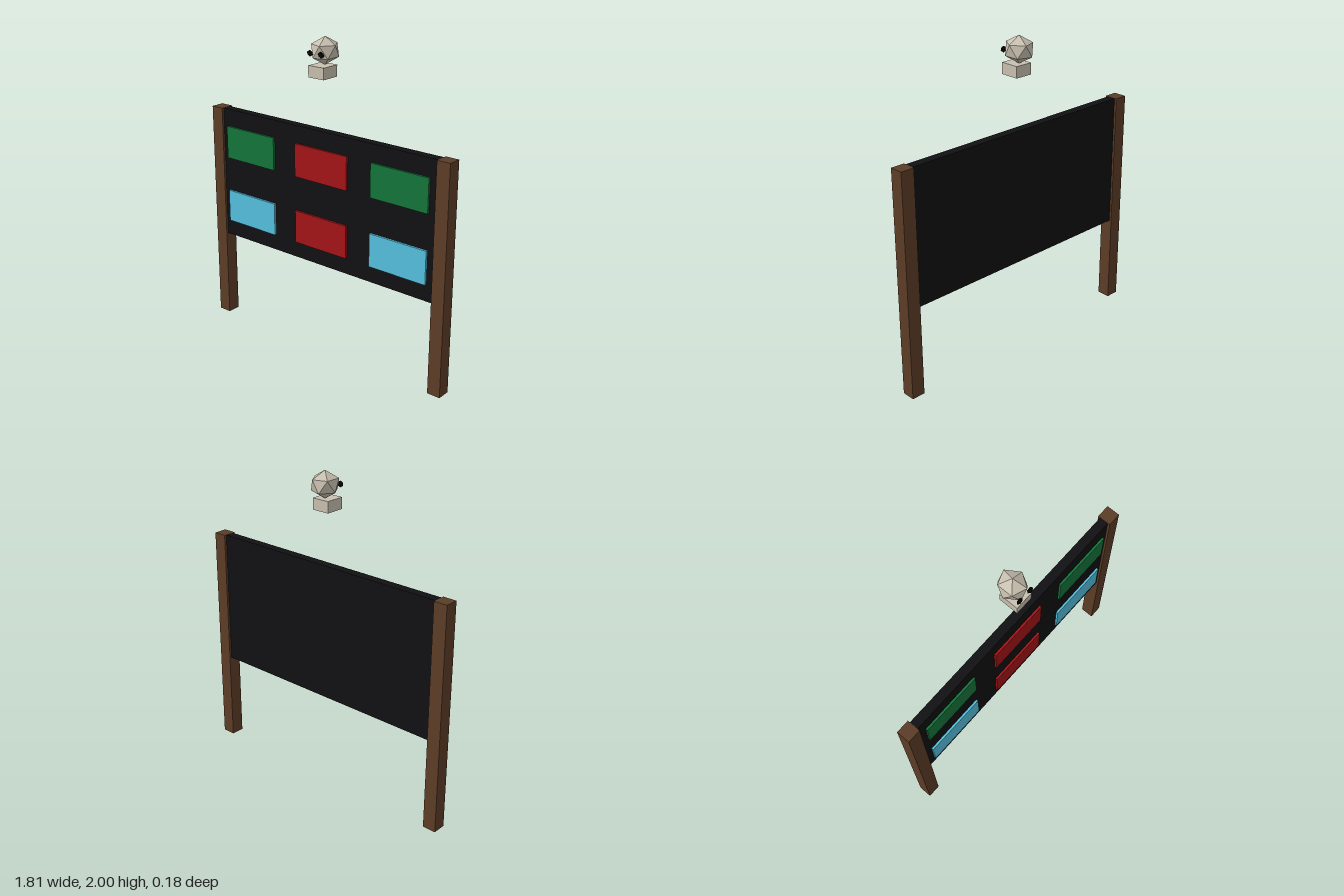
import * as THREE from 'three';
import { ConvexGeometry } from 'three/addons/geometries/ConvexGeometry.js';

const material = (color) => new THREE.MeshStandardMaterial({ color, flatShading: true });

export function createModel() {
  const model = new THREE.Group();
  const wood = material(0x5c3d26), black = material(0x111113), bone = material(0xc8c0b0);
  const green = material(0x15753a), red = material(0xa51417), blue = material(0x55c0de);
  const eyeBlack = material(0x050505);

  const add = (name, geometry, mat, x, y, z) => {
    const mesh = new THREE.Mesh(geometry, mat);
    mesh.name = name;
    mesh.position.set(x, y, z);
    model.add(mesh);
    return mesh;
  };
  const box = (name, mat, w, h, d, x, y, z) =>
    add(name, new THREE.BoxGeometry(w, h, d), mat, x, y, z);

  // Icosahedron standing on a vertex, with two staggered rings of five
  const points = [new THREE.Vector3(0, 1, 0), new THREE.Vector3(0, -1, 0)];
  for (let i = 0; i < 10; i++) {
    const a = (i * Math.PI) / 5, r = 2 / Math.sqrt(5);
    points.push(new THREE.Vector3(r * Math.cos(a), (i % 2 ? -1 : 1) / Math.sqrt(5), r * Math.sin(a)));
  }
  const ball = (name, mat, rx, ry, rz, x, y, z) =>
    add(name, new ConvexGeometry(points).scale(rx, ry, rz), mat, x, y, z);

  // Board between two posts
  box('leftPost', wood, 0.086, 1.44, 0.086, 0.861, 0.72, -0.007);
  box('rightPost', wood, 0.086, 1.44, 0.086, -0.861, 0.72, -0.007);
  box('board', black, 1.64, 0.86, 0.057, 0, 1.009, -0.007);

  // Two rows of coloured plates on the front
  [[1.225, [green, red, green]], [0.792, [blue, red, blue]]].forEach(([y, colours]) =>
    colours.forEach((mat, i) => box('plate', mat, 0.4, 0.21, 0.014, (i - 1) * 0.575, y, 0.034)));

  // Floating skull with jaw and eyes
  ball('skull', bone, 0.086, 0.083, 0.095, 0, 1.917, -0.007);
  box('jaw', bone, 0.115, 0.07, 0.122, 0, 1.8, 0.014);
  for (const side of [1, -1])
    ball(side > 0 ? 'leftEye' : 'rightEye', eyeBlack, 0.022, 0.02, 0.012, side * 0.041, 1.908, 0.078);

  return model;
}
